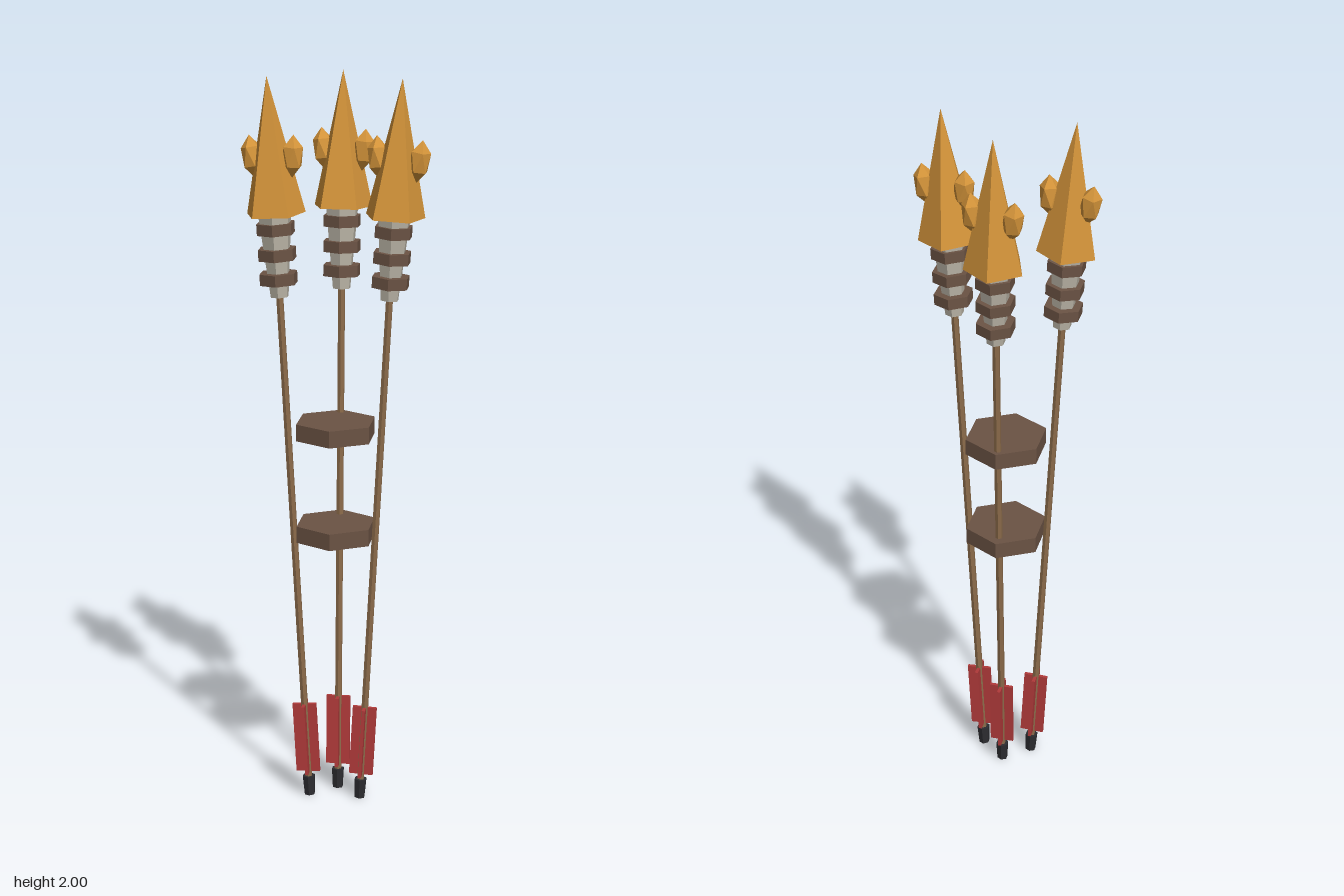
import * as THREE from 'three';

const mat = (name, color) => {
  const m = new THREE.MeshStandardMaterial({ color, flatShading: true });
  m.name = name;
  return m;
};

export function createModel() {
  const gold = mat('amber gold', 0xd4943a);
  const leather = mat('brown leather', 0x6b5344);
  const wood = mat('shaft wood', 0x8b6b4a);
  const bone = mat('pale grey', 0xbab4a6);
  const red = mat('red feather', 0xb03a3a);
  const dark = mat('dark nock', 0x2c2c30);

  const add = (parent, name, geometry, material, x = 0, y = 0, z = 0) => {
    const mesh = new THREE.Mesh(geometry, material);
    mesh.name = name;
    mesh.position.set(x, y, z);
    parent.add(mesh);
    return mesh;
  };
  // Cylinder with its base at y = 0
  const post = (top, bottom, height, sides) =>
    new THREE.CylinderGeometry(top, bottom, height, sides).translate(0, height / 2, 0);

  // Icosahedron with a corner pointing up, stretched tall
  const nodule = new THREE.IcosahedronGeometry(0.03, 0)
    .rotateZ(Math.atan(2 / (1 + Math.sqrt(5))))
    .scale(1, 1.9, 1);

  function makeArrow(name) {
    const arrow = new THREE.Group();
    arrow.name = name;
    add(arrow, 'nock', post(0.018, 0.015, 0.055, 6), dark);
    add(arrow, 'shaft', post(0.01, 0.01, 1.42, 6), wood, 0, 0.03);

    // Crossed feather vanes
    for (let i = 0; i < 4; i++) {
      const a = i * Math.PI / 2;
      const vane = add(arrow, 'featherVane', new THREE.BoxGeometry(0.028, 0.2, 0.009), red,
        Math.cos(a) * 0.019, 0.17, -Math.sin(a) * 0.019);
      vane.rotation.y = a;
    }

    // Tapered socket bound with three leather bands
    add(arrow, 'socket', post(0.046, 0.025, 0.22, 6), bone, 0, 1.42);
    for (const y of [1.455, 1.52, 1.588]) {
      add(arrow, 'binding', post(0.053, 0.053, 0.03, 6), leather, 0, y);
    }

    // Five-sided point with a nodule on each side
    add(arrow, 'point', post(0, 0.082, 0.36, 5).rotateY(Math.PI), gold, 0, 1.64);
    const left = add(arrow, 'nodule', nodule, gold, 0.056, 1.79, 0);
    left.rotation.set(0.1, 0.6, -0.12);
    const right = add(arrow, 'nodule', nodule, gold, -0.054, 1.79, -0.02);
    right.rotation.set(-0.1, 0, 0.12);
    return arrow;
  }

  const model = new THREE.Group();
  model.name = 'arrowBundle';

  // Foot position and outward lean of each arrow
  const layout = [
    ['leftArrow', 0.07, 0.064, 0.0535, 0],
    ['rightArrow', -0.07, 0.064, -0.0535, 0],
    ['backArrow', 0, 0.005, 0, -0.0485],
  ];
  const up = new THREE.Vector3(0, 1, 0);
  for (const [name, x, z, leanX, leanZ] of layout) {
    const arrow = makeArrow(name);
    arrow.position.set(x, 0.002, z);
    arrow.quaternion.setFromUnitVectors(up, new THREE.Vector3(leanX, 1, leanZ).normalize());
    model.add(arrow);
  }

  // Hexagonal spacer plates
  for (const y of [0.75, 1.035]) {
    add(model, 'spacerPlate', post(0.113, 0.113, 0.046, 6), leather, 0, y, 0.043);
  }
  return model;
}
